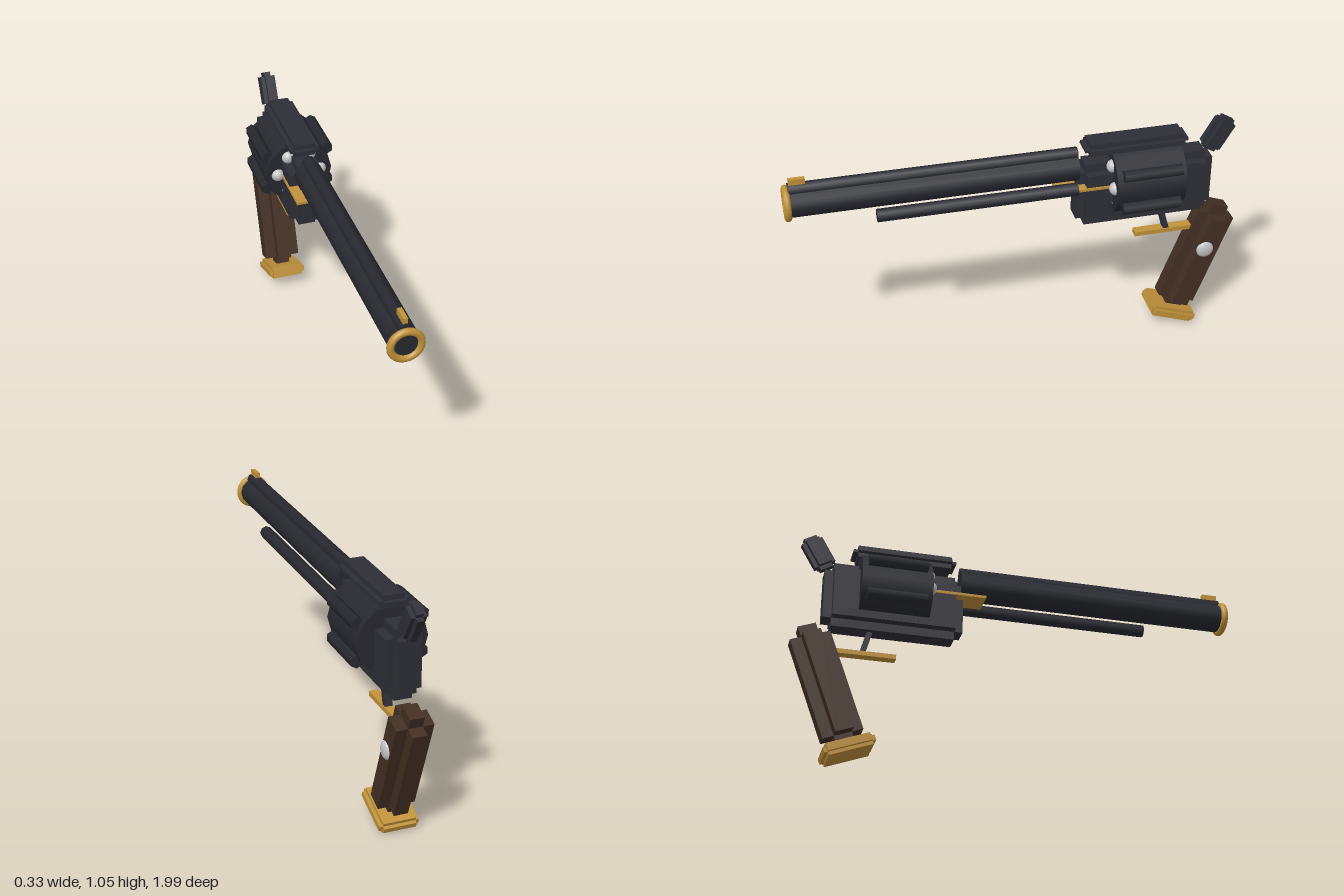
import * as THREE from 'three';

export function createModel() {
  const root = new THREE.Group();
  const mat = (name, color) => {
    const m = new THREE.MeshStandardMaterial({ color });
    m.name = name;
    return m;
  };
  const frameSteel = mat('frame steel', 0x2e2e37);
  const darkSteel = mat('dark steel', 0x282930);
  const brass = mat('brass', 0xc0923a);
  const wood = mat('dark wood', 0x422f23);
  const silver = mat('silver', 0xc4c4c6);

  const add = (name, geo, material, x, y, z, tilt = 0) => {
    const mesh = new THREE.Mesh(geo, material);
    mesh.name = name;
    mesh.position.set(x, y, z);
    mesh.rotation.x = tilt;
    root.add(mesh);
    return mesh;
  };
  const box = (name, w, h, d, material, x, y, z, tilt) =>
    add(name, new THREE.BoxGeometry(w, h, d), material, x, y, z, tilt);

  // Box with stepped edges: three crossing boxes, each full size along one axis
  const steppedBox = (name, w, h, d, b, material, y, z, tilt = 0) => {
    const group = new THREE.Group();
    group.name = name;
    const c = 2 * b;
    for (const [sx, sy, sz] of [[w, h - c, d - c], [w - c, h, d - c], [w - c, h - c, d]]) {
      const part = new THREE.Mesh(new THREE.BoxGeometry(sx, sy, sz), material);
      part.name = name + 'Block';
      group.add(part);
    }
    group.position.set(0, y, z);
    group.rotation.x = tilt;
    root.add(group);
  };

  // Rod lying along z between two depths
  const rod = (name, r, sides, z0, z1, material, x, y) => {
    const geo = new THREE.CylinderGeometry(r, r, z1 - z0, sides).rotateX(Math.PI / 2);
    return add(name, geo, material, x, y, (z0 + z1) / 2);
  };

  // Barrel, top rib, muzzle ring and sight
  rod('barrel', 0.063, 12, -0.26, 0.985, darkSteel, 0, 0.889);
  rod('barrelRib', 0.029, 8, -0.26, 0.975, darkSteel, 0, 0.952);
  add('muzzleRing', new THREE.TorusGeometry(0.063, 0.0155, 10, 28), brass, 0, 0.888, 0.984);
  box('frontSight', 0.02, 0.05, 0.07, brass, 0, 0.978, 0.935);
  rod('ejectorRod', 0.029, 8, -0.25, 0.62, darkSteel, 0.059, 0.808);

  // Frame and top strap
  steppedBox('frame', 0.154, 0.304, 0.615, 0.038, frameSteel, 0.757, -0.557);
  steppedBox('topStrap', 0.133, 0.056, 0.46, 0.021, frameSteel, 0.98, -0.515);
  box('brassPlate', 0.166, 0.012, 0.23, brass, 0, 0.81, -0.27);

  // Drum with raised ribs and cartridge ends
  const drumY = 0.81;
  rod('drum', 0.153, 12, -0.715, -0.405, darkSteel, 0, drumY);
  for (let i = 0; i < 6; i++) {
    const a = (i * Math.PI) / 3;
    const ra = a + Math.PI / 6;
    rod('drumRib', 0.028, 6, -0.69, -0.43, darkSteel,
      0.162 * Math.cos(ra), drumY + 0.162 * Math.sin(ra));
    add('cartridgeEnd', new THREE.SphereGeometry(0.03, 16, 10), silver,
      0.098 * Math.cos(a), drumY + 0.098 * Math.sin(a), -0.41);
  }

  // Hammer, trigger and guard
  steppedBox('hammer', 0.067, 0.165, 0.1, 0.019, frameSteel, 0.965, -0.895, -0.53);
  box('trigger', 0.034, 0.13, 0.025, frameSteel, 0, 0.57, -0.664, 0.27);
  box('triggerGuard', 0.042, 0.021, 0.265, brass, 0, 0.5, -0.668);

  // Raked grip with base cap and side stud
  const rake = -0.355;
  steppedBox('grip', 0.163, 0.565, 0.18, 0.05, wood, 0.335, -0.829, rake);
  steppedBox('gripCap', 0.174, 0.054, 0.225, 0.015, brass, 0.06, -0.724, rake);
  const stud = add('gripStud', new THREE.SphereGeometry(0.04, 18, 12), silver, 0.08, 0.408, -0.85);
  stud.scale.x = 0.43;

  return root;
}
